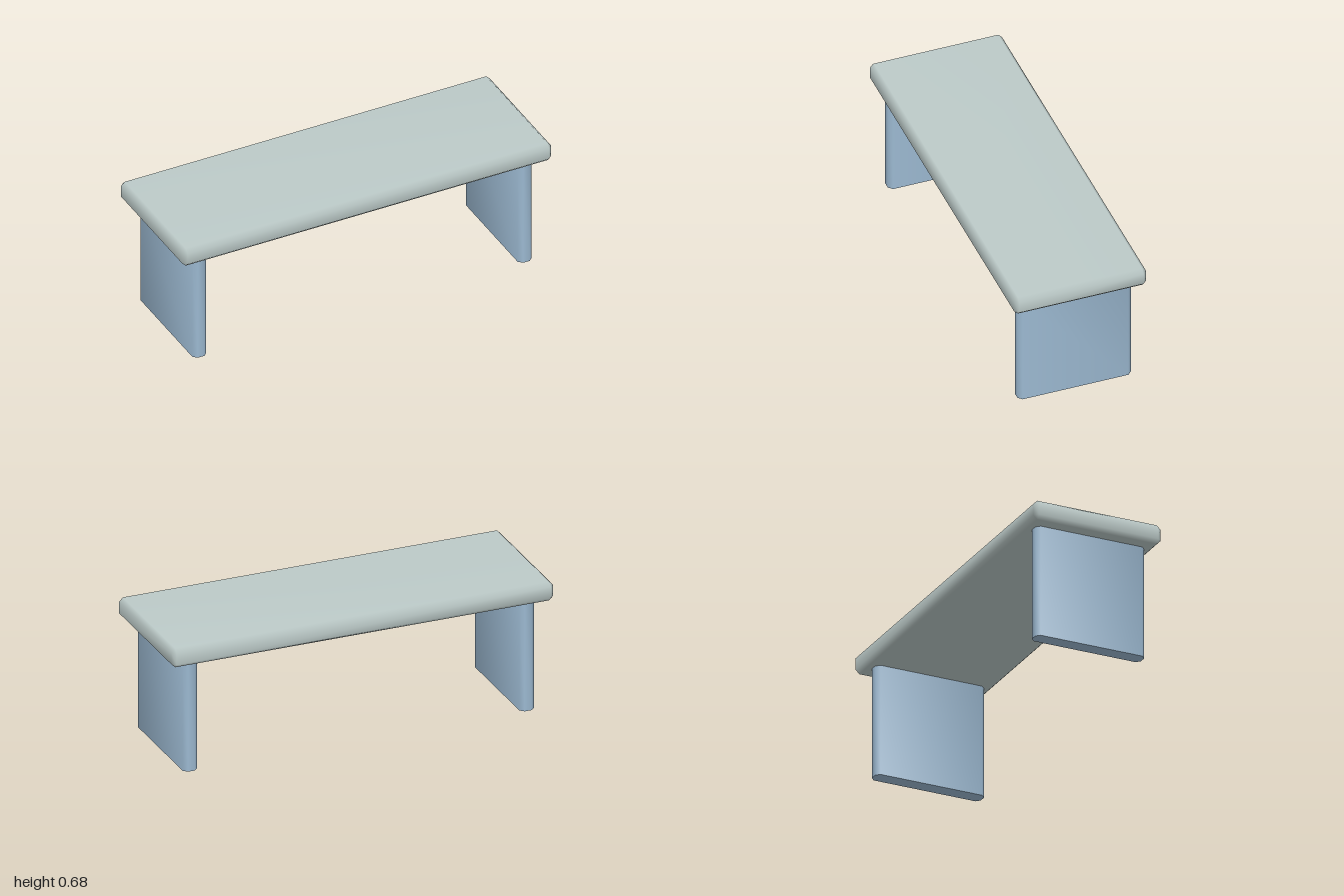
import * as THREE from 'three';
import { ConvexGeometry } from 'three/addons/geometries/ConvexGeometry.js';
import { mergeVertices, toCreasedNormals } from 'three/addons/utils/BufferGeometryUtils.js';

// Box with every edge chamfered and softly shaded
function chamferedBox(w, h, d, c) {
  const points = [];
  for (const sx of [-1, 1]) for (const sy of [-1, 1]) for (const sz of [-1, 1]) {
    for (let face = 0; face < 3; face++) {
      const [x, y, z] = [w, h, d].map((size, axis) => size / 2 - (axis === face ? 0 : c));
      points.push(new THREE.Vector3(sx * x, sy * y, sz * z));
    }
  }
  const geometry = new ConvexGeometry(points);
  geometry.deleteAttribute('normal');
  const merged = mergeVertices(geometry, 1e-4);
  merged.computeVertexNormals();
  return merged;
}

// Upright slab with chamfered vertical edges and flat ends
function uprightSlab(w, h, d, c) {
  const x = w / 2, z = d / 2;
  const outline = new THREE.Shape([
    [x - c, -z], [x, -z + c], [x, z - c], [x - c, z],
    [-x + c, z], [-x, z - c], [-x, -z + c], [-x + c, -z],
  ].map(([px, pz]) => new THREE.Vector2(px, pz)));
  const geometry = new THREE.ExtrudeGeometry(outline, { depth: h, bevelEnabled: false });
  geometry.rotateX(-Math.PI / 2);
  return toCreasedNormals(geometry, Math.PI / 3);
}

export function createModel() {
  const group = new THREE.Group();
  group.name = 'bench';
  const seatPaint = new THREE.MeshStandardMaterial({ color: 0xbccac8 });
  seatPaint.name = 'pale grey green';
  const legPaint = new THREE.MeshStandardMaterial({ color: 0x9bb8d0 });
  legPaint.name = 'soft blue';

  // Seat slab
  const seat = new THREE.Mesh(chamferedBox(2, 0.1, 0.68, 0.02), seatPaint);
  seat.name = 'seat';
  seat.position.y = 0.63;
  group.add(seat);

  // Panel legs, one at each end
  const legGeometry = uprightSlab(0.076, 0.58, 0.584, 0.02);
  for (const side of [-1, 1]) {
    const leg = new THREE.Mesh(legGeometry, legPaint);
    leg.name = side > 0 ? 'leftLeg' : 'rightLeg';
    leg.position.x = side * 0.882;
    group.add(leg);
  }
  return group;
}
